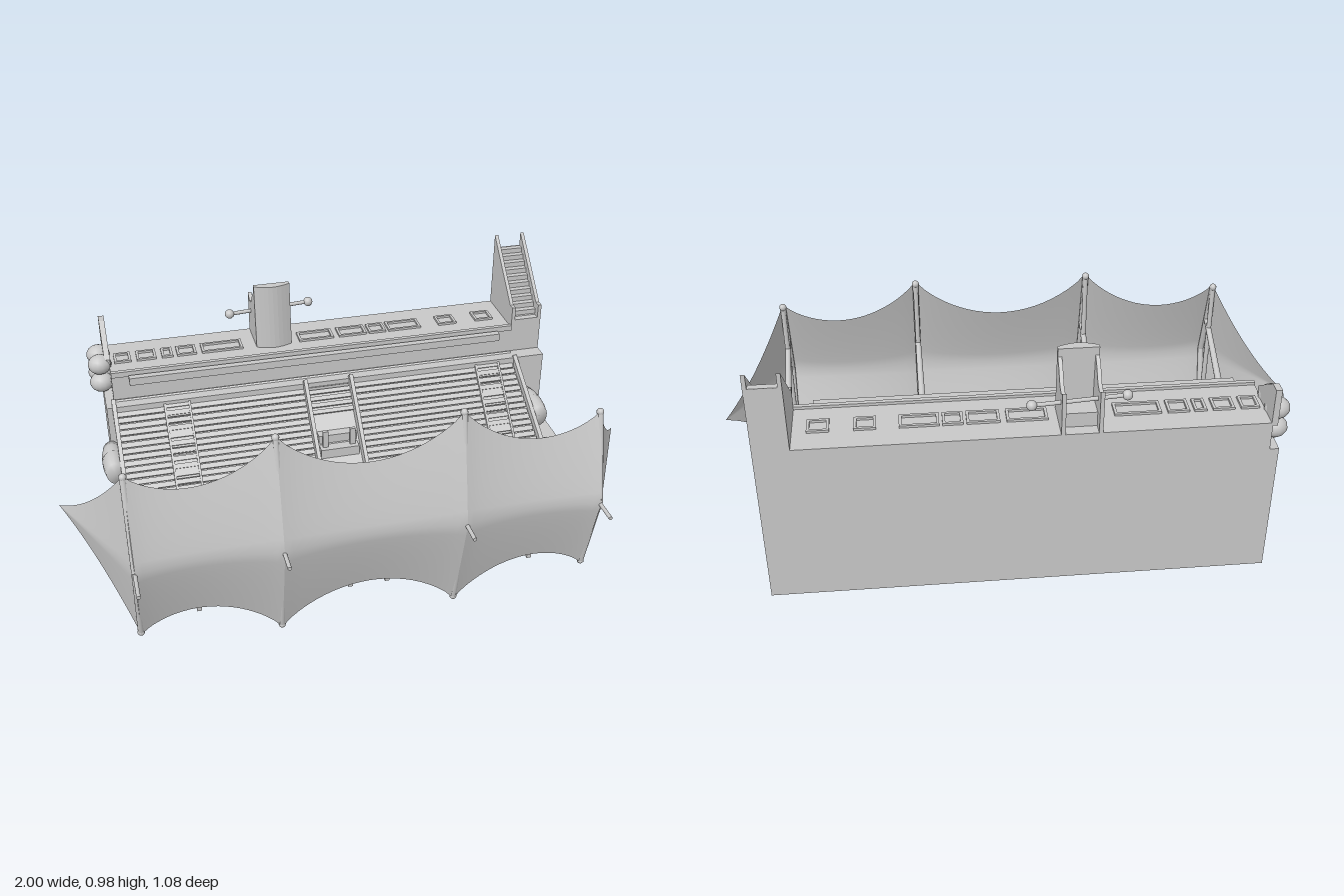
import * as THREE from 'three';

const grey = new THREE.MeshStandardMaterial({ color: 0xc8c8c8 });
grey.name = 'plain grey';
grey.side = THREE.DoubleSide;

const V = (x, y, z) => new THREE.Vector3(x, y, z);

export function createModel() {
  const root = new THREE.Group();
  root.name = 'sailFortress';

  const add = (name, geo, parent = root) => {
    const m = new THREE.Mesh(geo, grey);
    m.name = name;
    parent.add(m);
    return m;
  };
  // Box given by its limits
  const box = (name, x0, x1, y0, y1, z0, z1, parent) => {
    const m = add(name, new THREE.BoxGeometry(x1 - x0, y1 - y0, z1 - z0), parent);
    m.position.set((x0 + x1) / 2, (y0 + y1) / 2, (z0 + z1) / 2);
    return m;
  };
  const polygon = pts => new THREE.Shape(pts.map(p => new THREE.Vector2(p[0], p[1])));
  // Side profile of [z, y] points extruded from x0 to x1
  const profile = (name, pts, x0, x1) => {
    const g = new THREE.ExtrudeGeometry(polygon(pts), { depth: x1 - x0, bevelEnabled: false });
    g.rotateY(-Math.PI / 2).translate(x1, 0, 0);
    return add(name, g);
  };
  // Plan of [x, z] points extruded from y0 to y1
  const plan = (name, pts, y0, y1) => {
    const g = new THREE.ExtrudeGeometry(polygon(pts), { depth: y1 - y0, bevelEnabled: false });
    g.rotateX(Math.PI / 2).translate(0, y1, 0);
    return add(name, g);
  };
  const pole = (name, a, b, r0, r1 = r0) => {
    const m = add(name, new THREE.CylinderGeometry(r1, r0, a.distanceTo(b), 10));
    m.position.copy(a).lerp(b, 0.5);
    m.quaternion.setFromUnitVectors(V(0, 1, 0), b.clone().sub(a).normalize());
    return m;
  };

  // Stepped hull
  const steps = [[-0.54, 0.125], [-0.04, 0.125], [-0.04, 0.355], [-0.255, 0.355], [-0.255, 0.6]];
  profile('hullCore', [...steps, [-0.31, 0.6], [-0.31, 0.7], [-0.54, 0.7]], -0.77, 0.72);
  profile('rightLedge', [...steps, [-0.54, 0.6]], -0.8, -0.77);
  profile('leftTower', [...steps, [-0.31, 0.6], [-0.31, 0.73], [-0.335, 0.73], [-0.54, 0.925]], 0.72, 0.835);

  // Staircase walls and treads
  const stairWall = [[-0.31, 0.7], [-0.31, 0.78], [-0.335, 0.78], [-0.54, 0.975], [-0.54, 0.7]];
  profile('stairWall', stairWall, 0.72, 0.733);
  profile('stairWall', stairWall, 0.822, 0.835);
  for (let i = 0; i < 10; i++) {
    const z = -0.345 - i * 0.02, y = 0.745 + i * 0.019;
    box('stairTread', 0.733, 0.822, y - 0.01, y + 0.008, z - 0.012, z + 0.01);
  }
  profile('cornerWall', [[-0.54, 0.69], [-0.54, 0.82], [-0.5, 0.82], [-0.37, 0.73], [-0.37, 0.69]], -0.785, -0.765);

  // Sloping ramp, widening on its left edge toward the front
  const ramp = profile('rampBody', [[-0.3, 0.605], [-0.28, 0.59], [0.145, 0.185], [0.145, 0.175], [-0.04, 0.175], [-0.3, 0.355]], -0.77, 0.72);
  const rp = ramp.geometry.attributes.position;
  for (let i = 0; i < rp.count; i++) {
    if (rp.getX(i) > 0) rp.setX(i, 0.72 + 0.06 * Math.max(0, (rp.getZ(i) + 0.28) / 0.43));
  }
  ramp.geometry.computeVertexNormals();

  // Planks, ladders and channel walls lie in the slope of the ramp
  const deck = new THREE.Group();
  deck.name = 'rampDeck';
  deck.position.set(0, 0.59, -0.28);
  deck.rotation.x = Math.atan2(0.405, 0.425);
  root.add(deck);
  const len = 0.587, rows = 26;
  for (let i = 0; i < rows; i++) {
    const z = (i + 0.1) * len / rows, right = 0.712 + 0.06 * i / rows;
    const h = 0.007 + 0.004 * ((i * 7) % 3) / 2;
    box('plank', -0.765, -0.09, 0, h, z, z + len / rows * 0.8, deck);
    box('plank', 0.09, right, 0, h, z, z + len / rows * 0.8, deck);
  }
  for (const x of [-0.553, 0.612]) {
    for (const s of [-1, 1]) box('ladderRail', x + s * 0.044 - 0.004, x + s * 0.044 + 0.004, 0, 0.018, 0.01, len - 0.01, deck);
    for (let i = 0; i < 20; i++) box('ladderRung', x - 0.044, x + 0.044, 0, 0.015, 0.015 + i * 0.028, 0.032 + i * 0.028, deck);
  }
  for (const x of [-0.085, 0.085]) box('channelWall', x - 0.007, x + 0.007, -0.01, 0.04, 0, 0.42, deck);
  box('rampSideWall', -0.78, -0.765, -0.02, 0.025, -0.02, 0.5, deck);
  const leftRim = box('rampSideWall', 0.715, 0.73, -0.02, 0.025, 0, 0.57, deck);
  leftRim.rotation.y = 0.1;
  leftRim.position.x = 0.752;
  for (let i = 0; i < 5; i++) box('channelStep', -0.078, 0.078, 0, 0.012, 0.01 + i * 0.025, 0.025 + i * 0.025, deck);

  // Console standing in the channel
  box('consoleBase', -0.07, 0.07, 0.36, 0.46, -0.19, -0.11);
  box('consoleSeat', -0.07, 0.07, 0.34, 0.425, -0.11, -0.07);
  for (const x of [-0.05, 0.05]) box('consolePost', x - 0.01, x + 0.01, 0.42, 0.49, -0.1, -0.088);

  // Flared cheeks beside the ramp foot
  for (const s of [-1, 1]) {
    plan('rampCheek', [[s * 0.77, -0.045], [s * 0.79, -0.045], [s * 0.85, 0.15], [s * 0.775, 0.15]], 0.19, 0.3);
  }

  // Roof edge rail and hatch frames
  box('roofLip', -0.77, 0.72, 0.69, 0.71, -0.32, -0.305);
  box('edgeRail', -0.71, 0.66, 0.672, 0.7, -0.295, -0.27);
  box('edgeRailBack', -0.71, 0.66, 0.68, 0.69, -0.31, -0.295);
  const hatches = [[-0.75, -0.69], [-0.67, -0.6], [-0.58, -0.54], [-0.525, -0.455], [-0.435, -0.285], [-0.075, 0.055],
    [0.075, 0.18], [0.19, 0.255], [0.265, 0.39], [0.46, 0.53], [0.605, 0.675]];
  for (const [a, b] of hatches) {
    const s = polygon([[a, -0.455], [b, -0.455], [b, -0.39], [a, -0.39]]);
    s.holes.push(polygon([[a + 0.009, -0.446], [b - 0.009, -0.446], [b - 0.009, -0.399], [a + 0.009, -0.399]]));
    const g = new THREE.ExtrudeGeometry(s, { depth: 0.009, bevelEnabled: false });
    add('hatchFrame', g.rotateX(Math.PI / 2).translate(0, 0.708, 0));
  }

  // Lookout with curved shield and crossbar
  const arc = [];
  for (let i = 0; i <= 8; i++) arc.push([-0.235 + i * 0.13 / 8, -0.39 + 0.018 * Math.sin(Math.PI * i / 8)]);
  const shield = plan('lookoutShield', [...arc, [-0.105, -0.405], [-0.235, -0.405]], 0.69, 0.935);
  const sp = shield.geometry.attributes.position;
  for (let i = 0; i < sp.count; i++) sp.setZ(i, sp.getZ(i) - (sp.getY(i) - 0.7) * 0.06);
  const cheek = [[-0.39, 0.69], [-0.405, 0.915], [-0.445, 0.885], [-0.48, 0.84], [-0.51, 0.83], [-0.54, 0.85], [-0.54, 0.69]];
  profile('lookoutSide', cheek, -0.235, -0.222);
  profile('lookoutSide', cheek, -0.118, -0.105);
  box('lookoutSeat', -0.222, -0.118, 0.7, 0.75, -0.5, -0.42);
  const barEnds = [V(-0.315, 0.798, -0.485), V(-0.015, 0.798, -0.515)];
  pole('crossbar', ...barEnds, 0.007);
  for (const p of barEnds) add('crossbarKnob', new THREE.SphereGeometry(0.017, 14, 10)).position.copy(p);

  // Barrels and sacks on the side ledges
  const barrelPts = [[0, -0.075], [0.042, -0.075], [0.05, -0.04], [0.053, -0.004], [0.049, 0], [0.053, 0.004], [0.05, 0.04], [0.042, 0.075], [0, 0.075]]
    .map(p => new THREE.Vector2(p[0], p[1]));
  for (const x of [0.775, -0.8]) {
    const b = add('barrel', new THREE.LatheGeometry(barrelPts, 18));
    b.rotation.x = Math.PI / 2;
    b.scale.x = 0.75;
    b.position.set(x, 0.425, -0.178);
  }
  for (const y of [0.635, 0.706]) for (const z of [-0.465, -0.39]) {
    const sack = add('sack', new THREE.SphereGeometry(0.038, 14, 10));
    sack.scale.set(1.1, 0.95, 1);
    sack.position.set(-0.802, y, z);
  }

  // Sail: four ribs with sagging panels between, and a pointed wing at each end
  const ribs = [-0.79, -0.31, 0.31, 0.79].map(x => Math.abs(x) > 0.5
    ? { x, top: 0.715, low: 0.07, front: 0.435 } : { x, top: 0.785, low: 0.002, front: 0.44 });
  const mid = 0.395, edgeZ = 0.347;
  const surface = (name, fn, nu = 20, nv = 16) => {
    const g = new THREE.PlaneGeometry(1, 1, nu, nv), p = g.attributes.position;
    for (let i = 0; i < p.count; i++) {
      const q = fn(p.getX(i) + 0.5, p.getY(i) * 2);
      p.setXYZ(i, q.x, q.y, q.z);
    }
    g.computeVertexNormals();
    return add(name, g);
  };
  const ribAt = (r, v) => V(r.x, mid + (v > 0 ? r.top - mid : mid - r.low) * v,
    r.front + (edgeZ - r.front) * Math.pow(Math.abs(v), 1.1));
  for (let k = 0; k < 3; k++) {
    const a = ribs[k], b = ribs[k + 1], drop = k === 1 ? 0.145 : 0.108;
    surface('sailPanel', (u, v) => {
      const s = Math.pow(4 * u * (1 - u), 0.85);
      const p = ribAt(a, v).lerp(ribAt(b, v), u);
      p.y -= v * drop * s;
      p.z -= (1 - Math.abs(v)) * 0.028 * s;
      return p;
    });
  }
  for (const side of [-1, 1]) {
    const r = side < 0 ? ribs[0] : ribs[3], tip = V(side, 0.43, 0.045);
    surface('sailWing', (t, v) => {
      const u = side > 0 ? t : 1 - t;
      const p = ribAt(r, v).lerp(tip, u);
      p.y -= (ribAt(r, v).y - mid) * 0.45 * u * (1 - u);
      return p;
    });
  }

  // Rib frames, struts to the hull and front spikes
  for (const r of ribs) {
    const top = V(r.x, r.top - 0.008, edgeZ - 0.006), low = V(r.x, r.low + 0.008, edgeZ - 0.006);
    const nose = V(r.x, mid, r.front - 0.012);
    pole('ribUpper', nose, top, 0.011);
    pole('ribLower', nose, low, 0.011);
    pole('ribChord', top, low, 0.009);
    for (const p of [top, low]) add('ribCap', new THREE.SphereGeometry(0.013, 10, 8)).position.copy(p);
    pole('upperStrut', V(r.x, 0.55, 0.385), V(r.x * 0.99, 0.35, -0.045), 0.01, 0.014);
    pole('lowerStrut', V(r.x, 0.13, 0.33), V(r.x * 0.98, 0.172, -0.045), 0.009, 0.014);
    pole('bottomStrut', V(r.x, 0.128, 0.33), V(r.x * 0.93, 0.142, -0.045), 0.007, 0.009);
    pole('spike', V(r.x, 0.39, 0.42), V(r.x, 0.39, r.x < -0.5 ? 0.54 : 0.515), 0.007);
  }
  pole('lowerRail', V(-0.79, 0.132, 0.308), V(0.79, 0.132, 0.308), 0.008);
  for (let i = 0; i < 12; i++) {
    const x = -0.72 + i * 0.131;
    box('railBracket', x - 0.008, x + 0.008, 0.122, 0.144, 0.296, 0.335);
  }
  return root;
}
